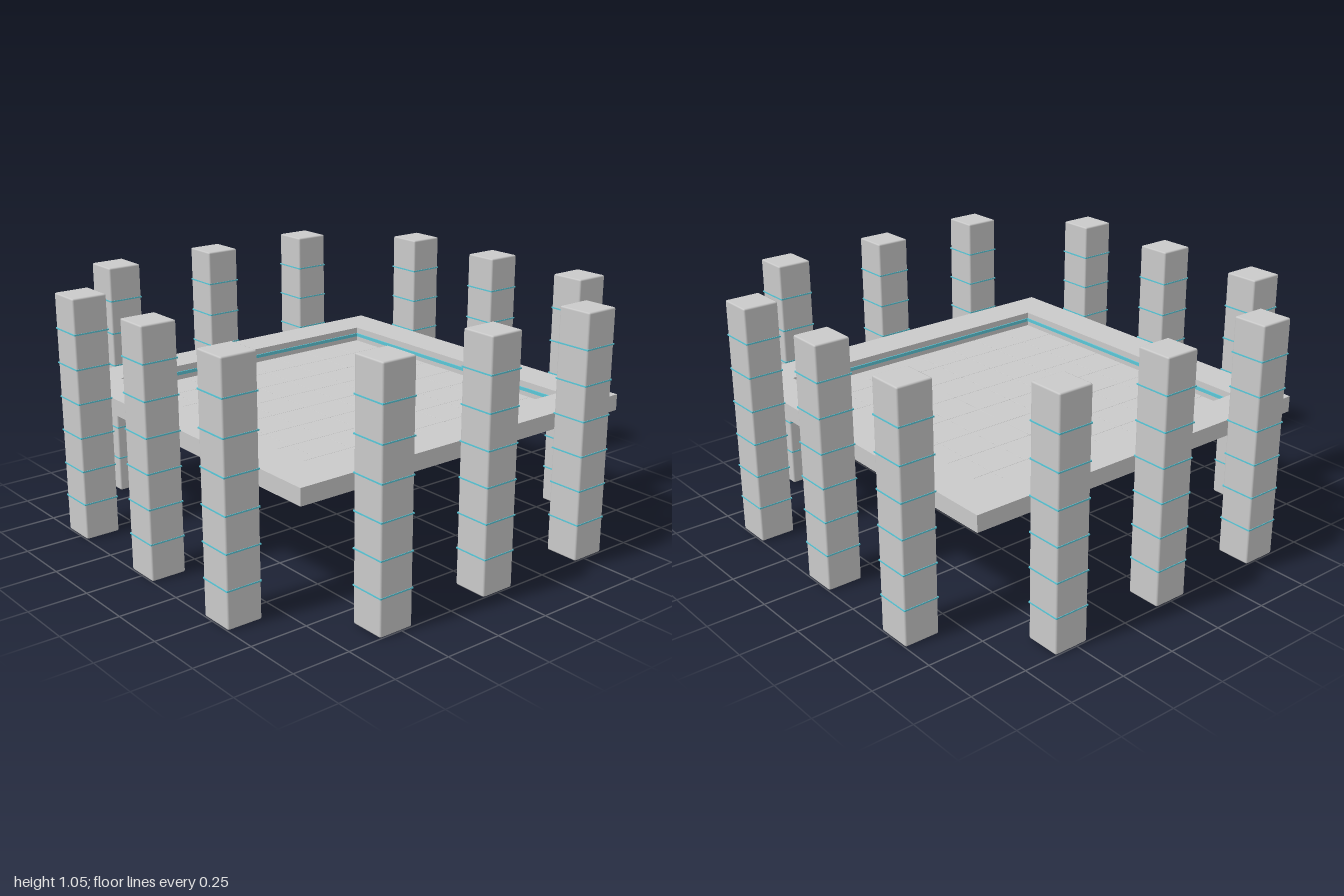
import * as THREE from 'three';
import { RoundedBoxGeometry } from 'three/addons/geometries/RoundedBoxGeometry.js';

const OUTER = 0.84, INNER = 0.67, RIM_TOP = 0.6, FLOOR = 0.53;
const PILLAR_H = 1.048, PILLAR_W = 0.154;
const TILES = 8, PITCH = INNER * 2 / TILES;

export function createModel() {
  const model = new THREE.Group();
  const stone = new THREE.MeshStandardMaterial({ color: 0xcacaca, side: THREE.DoubleSide });
  stone.name = 'grey stone';
  const teal = new THREE.MeshStandardMaterial({ color: 0x5cc8d8 });
  teal.name = 'teal trim';

  const add = (parent, name, geometry, material, x = 0, y = 0, z = 0) => {
    const mesh = new THREE.Mesh(geometry, material);
    mesh.name = name;
    mesh.position.set(x, y, z);
    parent.add(mesh);
    return mesh;
  };

  // Raised rim: a hollow shell of slabs, open underneath
  const rim = new THREE.Group();
  rim.name = 'rim';
  model.add(rim);
  const wallH = RIM_TOP - FLOOR, rimW = OUTER - INNER;
  const joint = INNER - PITCH;
  const cornerShape = new THREE.Shape([
    [OUTER, OUTER], [joint, OUTER], [joint, INNER], [INNER, INNER], [INNER, joint], [OUTER, joint],
  ].map(([x, y]) => new THREE.Vector2(x, y)));
  const cornerGeometry = new THREE.ShapeGeometry(cornerShape).rotateX(-Math.PI / 2);
  const slabGeometry = new THREE.PlaneGeometry(PITCH, rimW).rotateX(-Math.PI / 2);

  for (let i = 0; i < 4; i++) {
    const side = new THREE.Group();
    side.name = 'rimSide';
    side.rotation.y = i * Math.PI / 2;
    rim.add(side);
    add(side, 'rimCorner', cornerGeometry, stone, 0, RIM_TOP, 0);
    for (let k = 1; k < TILES - 1; k++) {
      add(side, 'rimSlab', slabGeometry, stone, (k + 0.5) * PITCH - INNER, RIM_TOP, INNER + rimW / 2);
    }
    add(side, 'outerWall', new THREE.PlaneGeometry(OUTER * 2, wallH), stone, 0, FLOOR + wallH / 2, OUTER);
    const inner = add(side, 'innerWall', new THREE.PlaneGeometry(INNER * 2, wallH), stone, 0, FLOOR + wallH / 2, INNER);
    inner.rotation.y = Math.PI;
    // Trim strip, showing on both faces of the inner wall
    add(side, 'innerTrim', new THREE.BoxGeometry(INNER * 2 + 0.01, 0.015, 0.01), teal, 0, 0.565, INNER);
  }

  // Sunken floor with a grid of shallow bevelled tiles
  const floor = new THREE.Group();
  floor.name = 'floor';
  model.add(floor);
  const tileGeometry = new RoundedBoxGeometry(PITCH - 0.0006, 0.006, PITCH - 0.0006, 1, 0.0012);
  for (let i = 0; i < TILES; i++) {
    for (let j = 0; j < TILES; j++) {
      add(floor, 'floorTile', tileGeometry, stone,
        (i + 0.5) * PITCH - INNER, FLOOR + 0.003, (j + 0.5) * PITCH - INNER);
    }
  }

  // Three banded pillars along each side
  const pillarGeometry = new RoundedBoxGeometry(PILLAR_W, PILLAR_H, PILLAR_W, 1, 0.007);
  const bandGeometry = new THREE.BoxGeometry(PILLAR_W + 0.004, 0.006, PILLAR_W + 0.004);
  for (let i = 0; i < 4; i++) {
    const row = new THREE.Group();
    row.name = 'pillarRow';
    row.rotation.y = i * Math.PI / 2;
    model.add(row);
    for (const x of [-0.525, 0, 0.525]) {
      const pillar = new THREE.Group();
      pillar.name = 'pillar';
      pillar.position.set(x, 0, 0.921);
      row.add(pillar);
      add(pillar, 'pillarShaft', pillarGeometry, stone, 0, PILLAR_H / 2, 0);
      for (let k = 1; k <= 6; k++) {
        add(pillar, 'pillarBand', bandGeometry, teal, 0, 0.01 + k * 0.148, 0);
      }
    }
  }
  return model;
}
